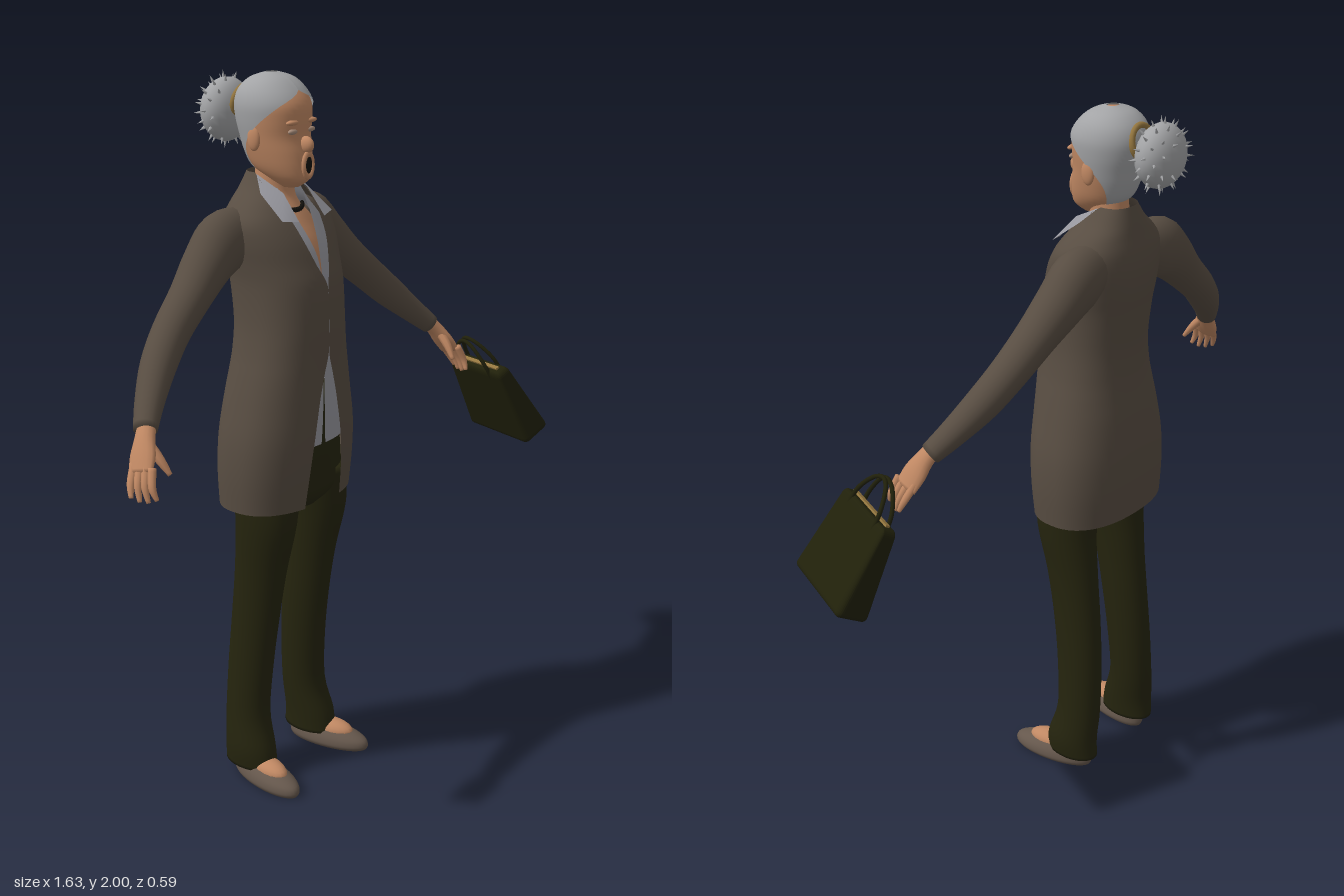
import * as THREE from 'three';
import { RoundedBoxGeometry } from 'three/addons/geometries/RoundedBoxGeometry.js';

const CX = -0.125; // centre line of the body

const paint = (name, color, side = THREE.FrontSide) => {
  const m = new THREE.MeshStandardMaterial({ color, side });
  m.name = name;
  return m;
};

// Smooth in-between rows (Catmull-Rom on every column)
function refine(rows, k = 4) {
  const out = [];
  const at = i => rows[Math.max(0, Math.min(rows.length - 1, i))];
  for (let i = 0; i < rows.length - 1; i++) {
    for (let s = 0; s < k; s++) {
      const t = s / k;
      out.push(rows[i].map((b, c) => {
        const a = at(i - 1)[c], d = at(i + 1)[c], e = at(i + 2)[c];
        return b + 0.5 * t * (d - a + t * (2 * a - 5 * b + 4 * d - e + t * (3 * (b - d) + e - a)));
      }));
    }
  }
  out.push(rows[rows.length - 1]);
  return out;
}

// Skin over elliptical rings [x, y, z, width radius, depth radius, front gap angle]
function skinOver(rows, { level = false, n = 28, p = 1 } = {}) {
  const open = rows.some(r => r[5] > 0), R = refine(rows);
  const pos = [], idx = [], cols = open ? n + 1 : n;
  const vec = r => new THREE.Vector3(r[0], r[1], r[2]);
  const pw = v => Math.sign(v) * Math.abs(v) ** p;
  R.forEach((r, i) => {
    const T = level ? new THREE.Vector3(0, 1, 0)
      : vec(R[Math.min(i + 1, R.length - 1)]).sub(vec(R[Math.max(i - 1, 0)])).normalize();
    const D = new THREE.Vector3(0, 0, 1).addScaledVector(T, -T.z).normalize();
    const W = T.clone().cross(D), g = Math.max(0, r[5] || 0);
    for (let j = 0; j < cols; j++) {
      const a = g + (2 * Math.PI - 2 * g) * j / n;
      const v = vec(r).addScaledVector(W, pw(Math.sin(a)) * r[3]).addScaledVector(D, pw(Math.cos(a)) * r[4]);
      pos.push(v.x, v.y, v.z);
    }
  });
  for (let i = 0; i < R.length - 1; i++) for (let j = 0; j < n; j++) {
    const a = i * cols + j, b = i * cols + (j + 1) % cols;
    idx.push(a, b, a + cols, b, b + cols, a + cols);
  }
  if (!open) [0, R.length - 1].forEach((i, end) => {
    const c = pos.length / 3;
    pos.push(R[i][0], R[i][1], R[i][2]);
    for (let j = 0; j < n; j++) {
      const a = i * n + j, b = i * n + (j + 1) % n;
      idx.push(...(end ? [a, b, c] : [b, a, c]));
    }
  });
  const geo = new THREE.BufferGeometry();
  geo.setAttribute('position', new THREE.Float32BufferAttribute(pos, 3));
  geo.setIndex(idx);
  geo.computeVertexNormals();
  return geo;
}

// Upright form from rows [y, front z, back z, half width, gap angle]
const upright = (rows, x = CX, p = 1, n = 36) => skinOver(
  rows.map(([y, f, b, w, g = 0]) => [x, y, (f + b) / 2, w, (f - b) / 2, g]), { level: true, p, n });
// Turn a gap half width in the last column into an angle
const gaps = (rows, p) => rows.map(([y, f, b, w, g]) => [y, f, b, w, Math.asin(Math.min(1, g / w) ** (1 / p))]);

export function createModel() {
  const root = new THREE.Group();
  root.name = 'womanWithHandbag';
  const wool = paint('brown wool', 0x584d42, THREE.DoubleSide);
  const cloth = paint('dark olive cloth', 0x25240e);
  const leather = paint('olive leather', 0x20200a);
  const skin = paint('skin', 0xc08863);
  const hair = paint('grey hair', 0xa3a4a6, THREE.DoubleSide);
  const linen = paint('pale grey linen', 0x98989f, THREE.DoubleSide);
  const shoeMat = paint('taupe shoe', 0x65574c);
  const black = paint('black', 0x12110d);
  const gold = paint('dull gold', 0x94763f);
  const lid = paint('eyelid', 0xa58a78);

  const add = (name, geo, mat, parent = root) => {
    const m = new THREE.Mesh(geo, mat);
    m.name = name;
    parent.add(m);
    return m;
  };
  const ball = (name, mat, x, y, z, sx, sy, sz, parent = root) => {
    const m = add(name, new THREE.SphereGeometry(1, 20, 14), mat, parent);
    m.position.set(x, y, z);
    m.scale.set(sx, sy, sz);
    return m;
  };

  // Head, hair cap and face
  const skull = [
    [1.71, -0.01, -0.06, 0.022], [1.73, 0.018, -0.1, 0.046], [1.76, 0.022, -0.145, 0.065],
    [1.8, 0.018, -0.165, 0.077], [1.84, 0.01, -0.175, 0.085], [1.88, 0.012, -0.185, 0.091],
    [1.92, 0.01, -0.188, 0.092], [1.955, -0.012, -0.175, 0.08], [1.982, -0.045, -0.145, 0.054], [1.996, -0.085, -0.105, 0.012]];
  add('head', upright(skull, CX, 0.95), skin);
  const hairGap = [0, 2.5, 2.3, 2.1, 1.75, 1.3, 0.75, 0, 0, 0];
  add('hairCap', upright(skull.slice(1).map(([y, f, b, w], i) =>
    [y + 0.003, f + 0.005, b - 0.005, w + 0.005, hairGap[i + 1]]), CX, 0.95), hair);
  ball('nose', skin, CX, 1.822, 0.018, 0.014, 0.022, 0.024);
  ball('mouth', black, CX, 1.772, 0.018, 0.016, 0.03, 0.014);
  const lips = add('lips', new THREE.TorusGeometry(0.018, 0.006, 8, 24), skin);
  lips.position.set(CX, 1.77, 0.024);
  lips.scale.y = 1.6;
  for (const s of [-1, 1]) {
    ball('eyelid', lid, CX + s * 0.036, 1.857, 0.003, 0.017, 0.007, 0.008);
    ball('brow', skin, CX + s * 0.036, 1.88, 0.003, 0.024, 0.007, 0.01);
    ball('ear', skin, CX + s * 0.086, 1.838, -0.085, 0.01, 0.032, 0.02);
  }

  // Bun with loose spiky strands and its band
  const bun = new THREE.Group();
  bun.name = 'bun';
  bun.position.set(CX - 0.012, 1.892, -0.242);
  root.add(bun);
  ball('bunCore', hair, 0, 0, 0, 0.084, 0.084, 0.056, bun);
  for (let i = 0; i < 46; i++) {
    const z = 0.5 - 1.4 * (i + 0.5) / 46, a = i * 2.4, r = Math.sqrt(1 - z * z);
    const d = new THREE.Vector3(r * Math.cos(a), r * Math.sin(a), z);
    const spike = add('strand', new THREE.ConeGeometry(0.008, 0.034, 5), hair, bun);
    spike.position.set(d.x * 0.085, d.y * 0.085, d.z * 0.056);
    spike.quaternion.setFromUnitVectors(new THREE.Vector3(0, 1, 0), d);
  }
  const band = add('hairBand', new THREE.TorusGeometry(0.042, 0.009, 8, 24), gold);
  band.position.set(CX - 0.005, 1.918, -0.187);
  band.rotation.x = 0.25;

  // Neck and chest, shirt, cardigan
  add('neckAndChest', upright([
    [1.46, 0.04, -0.15, 0.1], [1.55, 0.042, -0.16, 0.12], [1.62, 0.005, -0.16, 0.1],
    [1.66, -0.02, -0.15, 0.062], [1.7, -0.036, -0.145, 0.05], [1.77, -0.03, -0.14, 0.05]]), skin);
  add('shirt', upright(gaps([
    [1.02, 0.074, -0.165, 0.17, 0.008], [1.1, 0.076, -0.165, 0.165, 0.004], [1.22, 0.076, -0.16, 0.15, 0.001],
    [1.4, 0.076, -0.16, 0.135, 0.001], [1.5, 0.066, -0.165, 0.135, 0.002], [1.56, 0.05, -0.17, 0.135, 0.01],
    [1.62, 0.02, -0.17, 0.12, 0.026], [1.67, -0.008, -0.165, 0.085, 0.036], [1.71, -0.03, -0.155, 0.064, 0.044]], 0.85), CX, 0.85), linen);
  add('cardigan', upright(gaps([
    [0.85, 0.075, -0.2, 0.212, 0.075], [0.95, 0.086, -0.205, 0.216, 0.068], [1.05, 0.092, -0.203, 0.21, 0.055],
    [1.15, 0.092, -0.194, 0.19, 0.036], [1.22, 0.092, -0.184, 0.174, 0.018], [1.28, 0.093, -0.178, 0.16, 0.001],
    [1.36, 0.095, -0.178, 0.149, 0.001], [1.46, 0.09, -0.19, 0.148, 0.001], [1.52, 0.072, -0.198, 0.155, 0.026],
    [1.58, 0.05, -0.2, 0.165, 0.046], [1.63, 0.022, -0.194, 0.163, 0.058], [1.67, -0.005, -0.184, 0.13, 0.064],
    [1.705, -0.03, -0.175, 0.088, 0.07], [1.745, -0.05, -0.163, 0.058, 0.058]], 0.85), CX, 0.85, 48), wool);

  // Necklace beads
  for (let i = -6; i <= 6; i++) {
    const a = i * 0.13;
    ball('bead', black, CX + 0.062 * Math.sin(a), 1.65 + 0.03 * (1 - Math.cos(a)), -0.08 + 0.067 * Math.cos(a), 0.006, 0.007, 0.006);
  }

  // Hips and trousers seat
  add('trouserSeat', upright([
    [0.83, 0.03, -0.1, 0.06], [0.87, 0.06, -0.145, 0.17], [0.95, 0.064, -0.165, 0.185], [1.06, 0.062, -0.165, 0.165], [1.15, 0.05, -0.15, 0.14]]), cloth);

  for (const s of [-1, 1]) {
    const side = s > 0 ? 'left' : 'right';
    const X = o => CX + s * o;
    const limb = (name, rows, mat, n = 20) =>
      add(side + name, skinOver(rows.map(([x, ...r]) => [X(x), ...r]), { n }), mat);

    // Collar wing
    const wing = [[0.06, 1.742, -0.1], [0.092, 1.7, -0.06], [0.102, 1.638, 0.022], [0.052, 1.632, 0.036], [0.05, 1.7, -0.018]];
    const collar = new THREE.BufferGeometry();
    collar.setAttribute('position', new THREE.Float32BufferAttribute(wing.flatMap(([x, y, z]) => [X(x), y, z]), 3));
    collar.setIndex(s > 0 ? [4, 1, 0, 4, 2, 1, 4, 3, 2] : [4, 0, 1, 4, 1, 2, 4, 2, 3]);
    collar.computeVertexNormals();
    add(side + 'Collar', collar, linen);

    // Sleeve
    limb('Sleeve', [
      [0.09, 1.605, -0.115, 0.06, 0.055], [0.17, 1.58, -0.12, 0.083, 0.066], [0.235, 1.535, -0.118, 0.07, 0.064],
      [0.315, 1.468, -0.106, 0.056, 0.056], [0.405, 1.395, -0.092, 0.05, 0.05], [0.48, 1.328, -0.068, 0.046, 0.046],
      [0.55, 1.262, -0.032, 0.036, 0.038], [0.603, 1.21, 0.002, 0.028, 0.031]], wool);

    // Hand
    limb('Palm', [[0.59, 1.225, -0.003, 0.02, 0.024], [0.615, 1.195, 0.012, 0.02, 0.028],
      [0.638, 1.16, 0.026, 0.018, 0.037], [0.66, 1.125, 0.038, 0.012, 0.036]], skin, 14);
    for (let i = 0; i < 4; i++) {
      const z = 0.01 + 0.02 * i, dy = 0.008 * Math.abs(i - 1.5);
      limb('Finger', [[0.652, 1.142, z, 0.01, 0.011], [0.68 - 0.004 * i, 1.1, z + 0.013, 0.009, 0.01],
        [0.692 - 0.009 * i, 1.057 + dy, z + 0.025, 0.005, 0.006]], skin, 8);
    }
    limb('Thumb', [[0.62, 1.185, 0.028, 0.014, 0.014], [0.615, 1.15, 0.06, 0.012, 0.012], [0.607, 1.115, 0.085, 0.006, 0.006]], skin, 8);

    // Trouser leg
    add(side + 'TrouserLeg', skinOver([
      [0.135, 0.04, -0.085, 0.055, 0.086], [0.136, 0.1, -0.088, 0.059, 0.08], [0.127, 0.2, -0.103, 0.057, 0.068],
      [0.118, 0.35, -0.097, 0.057, 0.07], [0.112, 0.5, -0.082, 0.058, 0.074], [0.11, 0.65, -0.062, 0.062, 0.08],
      [0.11, 0.8, -0.04, 0.073, 0.093], [0.1, 0.92, -0.045, 0.085, 0.1]].map(([x, ...r]) => [X(x), ...r]), { level: true }), cloth);

    // Shoe and bare instep
    const foot = new THREE.Group();
    foot.name = side + 'Foot';
    foot.position.set(X(0.145), 0, -0.02);
    foot.rotation.y = s * 0.17;
    root.add(foot);
    add('shoe', upright([[0, 0.125, -0.125, 0.046], [0.012, 0.131, -0.13, 0.052], [0.03, 0.122, -0.13, 0.049],
      [0.046, 0.085, -0.128, 0.04], [0.055, 0.04, -0.125, 0.03]], 0), shoeMat, foot);
    ball('instep', skin, 0, 0.045, 0.005, 0.036, 0.03, 0.075, foot);
  }

  // Handbag hanging from the left hand; local z is its length, y its height
  const bag = new THREE.Group();
  bag.name = 'handbag';
  const top = new THREE.Vector3(0.612, 1.075, 0.09), bottom = new THREE.Vector3(0.728, 0.853, 0.142);
  const up = top.clone().sub(bottom).normalize();
  const along = new THREE.Vector3(-0.38, 0.13, 0.92);
  along.addScaledVector(up, -along.dot(up)).normalize();
  bag.quaternion.setFromRotationMatrix(new THREE.Matrix4().makeBasis(up.clone().cross(along), up, along));
  bag.position.copy(top).add(bottom).multiplyScalar(0.5);
  root.add(bag);
  const body = new RoundedBoxGeometry(0.1, 0.255, 0.285, 3, 0.018), bp = body.attributes.position;
  for (let i = 0; i < bp.count; i++) {
    const t = bp.getY(i) / 0.255 + 0.5;
    bp.setX(i, bp.getX(i) * (1 - 0.55 * t));
    bp.setZ(i, bp.getZ(i) * (1 - 0.14 * t));
  }
  body.computeVertexNormals();
  add('bagBody', body, leather, bag);
  add('bagClasp', new THREE.BoxGeometry(0.012, 0.008, 0.2), gold, bag).position.y = 0.129;
  for (const s of [-1, 1]) {
    const path = new THREE.CatmullRomCurve3([[0.02, 0.09, -0.075], [0.018, 0.15, -0.068], [0.01, 0.205, -0.032],
      [0.007, 0.218, 0], [0.01, 0.205, 0.032], [0.018, 0.15, 0.068], [0.02, 0.09, 0.075]]
      .map(([x, y, z]) => new THREE.Vector3(s * x, y, z)));
    add('bagHandle', new THREE.TubeGeometry(path, 32, 0.006, 8), leather, bag);
  }
  return root;
}
